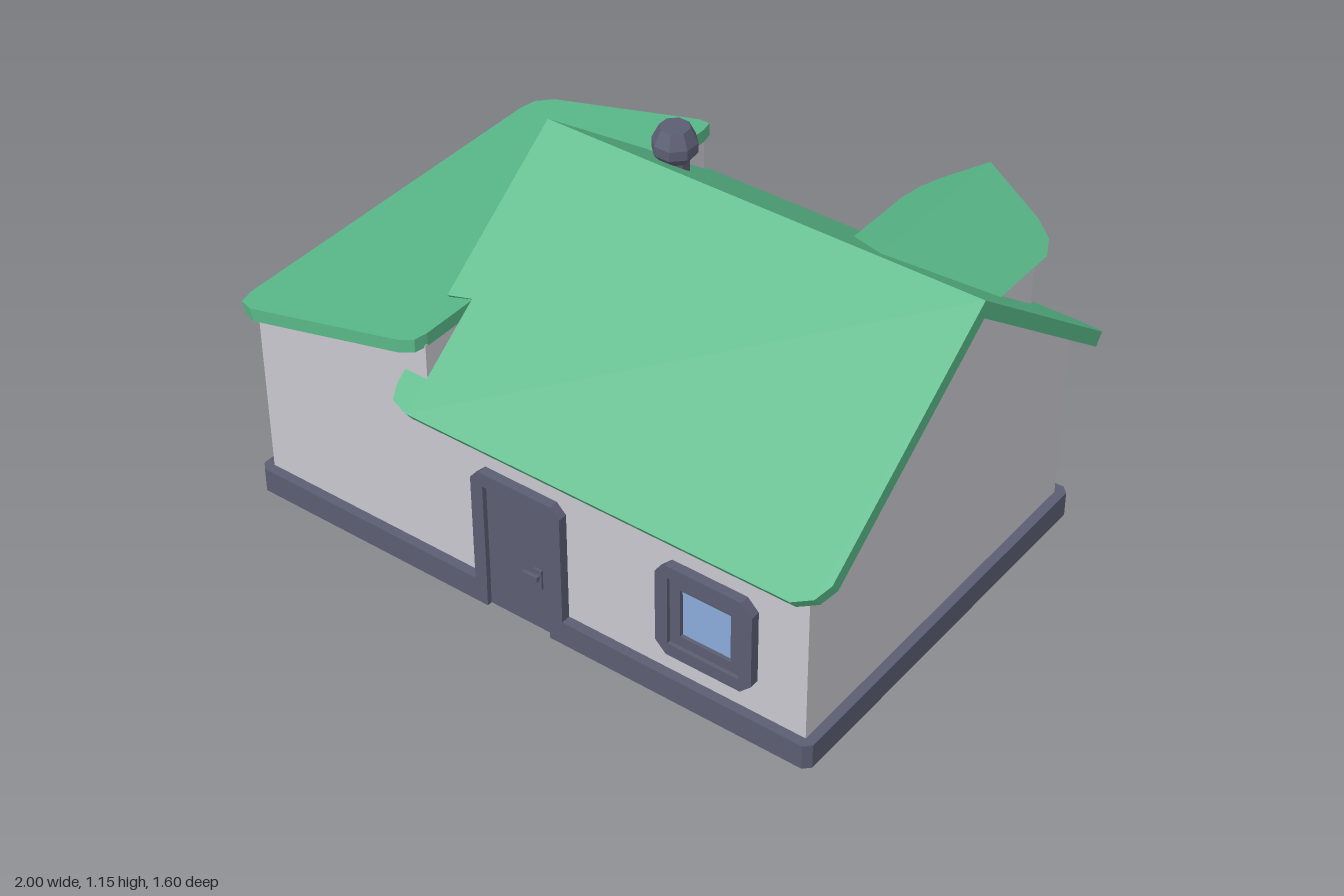
import * as THREE from 'three';

const mat = (name, color) => new THREE.MeshStandardMaterial({ name, color });

export function createModel() {
  const house = new THREE.Group();
  house.name = 'house';
  const wall = mat('wallGrey', 0xc8c7cf), trim = mat('slate', 0x5b5d72), green = mat('green', 0x59b888);
  const glass = mat('glassBlue', 0x8aabda), soil = mat('terracotta', 0xc87a54);

  const add = (parent, name, geo, material) => {
    const m = new THREE.Mesh(geo, material);
    m.name = name;
    parent.add(m);
    return m;
  };
  const toShape = (pts) => new THREE.Shape(pts.map(([x, y]) => new THREE.Vector2(x, y)));
  // Outline in x/y, optionally with a hole, extruded from z0 to z1
  const plate = (pts, z0, z1, hole) => {
    const s = toShape(pts);
    if (hole) s.holes.push(toShape(hole));
    return new THREE.ExtrudeGeometry(s, { depth: z1 - z0, bevelEnabled: false }).translate(0, 0, z0);
  };
  // Outline in x/z, extruded upwards from y0 to y1
  const slab = (pts, y0, y1, hole) => {
    const flip = (p) => p && p.map(([x, z]) => [x, -z]);
    return plate(flip(pts), y0, y1, flip(hole)).rotateX(-Math.PI / 2);
  };
  // Unit slab whose vertices are moved by a rule (x, z, isTop) => [x, y, z]
  const warpedSlab = (pts, rule) => {
    const g = slab(pts, 0, 1), p = g.attributes.position;
    for (let i = 0; i < p.count; i++) p.setXYZ(i, ...rule(p.getX(i), p.getZ(i), p.getY(i) > 0.5));
    g.computeVertexNormals();
    return g;
  };
  // Rectangle with cut corners; cutLow = false keeps the lower corners square
  const rect = (x0, y0, x1, y1, c = 0, cutLow = true) => {
    const lo = cutLow ? c : 0;
    const low = lo ? [[x0, y0 + lo], [x0 + lo, y0], [x1 - lo, y0], [x1, y0 + lo]] : [[x0, y0], [x1, y0]];
    const high = c ? [[x1, y1 - c], [x1 - c, y1], [x0 + c, y1], [x0, y1 - c]] : [[x1, y1], [x0, y1]];
    return [...low, ...high];
  };

  // Plinth with recesses at the three doors
  add(house, 'plinth', slab([
    [-0.975, 0.72], [-0.955, 0.74], [-0.125, 0.74], [-0.125, 0.71], [0.095, 0.71], [0.095, 0.74],
    [0.93, 0.74], [0.95, 0.72], [0.95, -0.545], [0.93, -0.565],
    [0.735, -0.565], [0.735, -0.53], [0.515, -0.53], [0.515, -0.565],
    [-0.43, -0.565], [-0.43, -0.53], [-0.85, -0.53], [-0.85, -0.565], [-0.955, -0.565], [-0.975, -0.545],
  ], 0, 0.08), trim);

  // Main walls with gables, and the lean-to garage
  const RZ = 0.085, K = 0.748;
  add(house, 'mainWalls', plate(
    [[-0.71, 0.05], [0.53, 0.05], [0.53, 0.63], [-RZ, 1.095], [-0.71, 0.63]], -0.325, 0.92,
  ).rotateY(Math.PI / 2), wall);
  add(house, 'garageWalls', plate(
    [[-0.945, 0.05], [-0.325, 0.05], [-0.325, 0.79], [-0.945, 0.635]], -0.53, 0.71), wall);

  // Main roof: two slopes mitred at the ridge, notched around the garage roof
  const slope = [
    [-0.4, 0], [1, 0], [1, 0.65], [0.975, 0.69], [0.92, 0.715], [-0.33, 0.715], [-0.385, 0.7], [-0.4, 0.665],
    [-0.4, 0.628], [-0.325, 0.628], [-0.325, 0.43], [-0.4, 0.445],
  ];
  for (const s of [1, -1]) {
    add(house, s > 0 ? 'frontRoof' : 'backRoof', warpedSlab(slope.map(([x, d]) => [x, s * d]), (x, z, top) => {
      let d = Math.abs(z);
      if (!top && d > 0.01) d -= 0.027;
      return [x, 1.15 - K * d - (top ? 0 : 0.055), RZ + s * d];
    }), green);
  }

  // Garage roof
  add(house, 'garageRoof', warpedSlab([
    [-1, -0.51], [-0.985, -0.56], [-0.93, -0.585], [-0.38, -0.585], [-0.335, -0.57], [-0.325, -0.53],
    [-0.325, 0.7], [-0.335, 0.74], [-0.38, 0.755], [-0.93, 0.755], [-0.985, 0.73], [-1, 0.68],
  ], (x, z, top) => {
    const bx = !top && x < -0.9 ? x + 0.01 : x;
    return [bx, 0.825 + (bx + 0.325) * 0.252 - (top ? 0 : 0.042), z];
  }), green);

  // Dormer
  const DX = 0.605;
  const dormer = new THREE.Group();
  dormer.name = 'dormer';
  dormer.position.x = DX;
  house.add(dormer);
  add(dormer, 'dormerWalls', plate(
    [[-0.205, 0.68], [0.205, 0.68], [0.205, 0.85], [0, 1.002], [-0.205, 0.85]], -0.5, -0.2), wall);
  const dormerSlope = [[0, -0.04], [0.235, -0.268], [0.235, -0.51], [0.21, -0.56], [0.16, -0.58], [0, -0.58]];
  for (const s of [1, -1]) {
    add(dormer, 'dormerRoof', warpedSlab(dormerSlope.map(([u, z]) => [s * u, z]), (x, z, top) => {
      let u = Math.abs(x);
      if (!top && u > 0.01) u -= 0.025;
      return [s * u, 1.055 - 0.745 * u - (top ? 0 : 0.053), z];
    }), green);
  }
  const tri = (k) => [[-0.15, -0.055], [0.15, -0.055], [0.165, -0.035], [0.165, -0.02], [0.025, 0.1], [-0.025, 0.1],
    [-0.165, -0.02], [-0.165, -0.035]].map(([x, y]) => [x * k, y * k + 0.825]);
  add(dormer, 'dormerWindowFrame', plate(tri(1), -0.535, -0.495, tri(0.74)), trim);
  add(dormer, 'dormerWindowSash', plate(tri(0.76), -0.52, -0.495, tri(0.54)), trim);
  add(dormer, 'dormerGlass', plate(tri(0.56), -0.507, -0.499), glass);

  // Door and window builders, local z = 0 on the wall
  const doorFrame = (g, x0, x1, t) => add(g, 'doorFrame', plate([
    [x0, 0.075], [x0 + t, 0.075], [x0 + t, 0.425], [x1 - t, 0.425], [x1 - t, 0.075], [x1, 0.075],
    [x1, 0.44], [x1 - 0.03, 0.47], [x0 + 0.03, 0.47], [x0, 0.44],
  ], -0.01, 0.03), trim);
  const makeDoor = (g, cx) => {
    doorFrame(g, cx - 0.1525, cx + 0.1525, 0.0415);
    add(g, 'door', plate(rect(cx - 0.112, 0, cx + 0.112, 0.427), -0.005, 0.014), trim);
    add(g, 'handlePlate', plate(rect(cx + 0.052, 0.15, cx + 0.077, 0.215), 0.013, 0.021), trim);
    add(g, 'handleLever', plate(rect(cx + 0.022, 0.184, cx + 0.073, 0.2), 0.026, 0.036), trim);
    add(g, 'handleStem', plate(rect(cx + 0.058, 0.185, cx + 0.071, 0.199), 0.02, 0.028), trim);
  };
  const makeWindow = (g, cx, w, mullion) => {
    const h = w / 2, ring = (i, c) => rect(cx - h + i, 0.16 + i, cx + h - i, 0.467 - i, c);
    add(g, 'windowFrame', plate(ring(0, 0.035), -0.01, 0.03, ring(0.04)), trim);
    add(g, 'windowSash', plate(ring(0.039), -0.01, 0.018, ring(0.074)), trim);
    add(g, 'windowGlass', plate(ring(0.072), 0, 0.007), glass);
    if (mullion) add(g, 'mullion', plate(rect(cx - 0.013, 0.23, cx + 0.013, 0.397), 0, 0.018), trim);
  };

  const front = new THREE.Group();
  front.name = 'frontOpenings';
  front.position.z = 0.71;
  makeDoor(front, -0.013);
  makeWindow(front, 0.61, 0.31, false);

  const back = new THREE.Group();
  back.name = 'backOpenings';
  back.position.z = -0.53;
  back.rotation.y = Math.PI;
  makeDoor(back, -0.625);
  makeWindow(back, 0.01, 0.475, true);
  house.add(front, back);

  // Garage door with a window strip
  doorFrame(back, 0.385, 0.895, 0.045);
  const strip = rect(0.5, 0.295, 0.78, 0.36);
  add(back, 'garageDoor', plate(rect(0.429, 0, 0.851, 0.427), -0.005, 0.015, strip), trim);
  add(back, 'garageGlass', plate(strip, 0, 0.006), glass);
  add(back, 'garageHandle', plate(rect(0.6, 0.06, 0.68, 0.083), 0.014, 0.028), trim);

  // Chimney pipe with faceted cap
  const lathe = (pts, n) => new THREE.LatheGeometry(pts.map(([r, y]) => new THREE.Vector2(r, y)), n);
  const pipe = lathe([[0.042, 0.88], [0.042, 1.0], [0.067, 1.03], [0.067, 1.06], [0.045, 1.105], [0, 1.105]], 8).toNonIndexed();
  pipe.computeVertexNormals();
  add(house, 'chimney', pipe.rotateY(Math.PI / 8), trim).position.set(-0.143, 0, -0.148);

  // Planter with two shrubs
  const bed = (i, c) => [[-0.32 + i, -0.54], [-0.32 + i, -0.8 + c + i * 0.6], [-0.3 + i, -0.815 + c * 0.55 + i],
    [-0.32 + c + i * 0.6, -0.8 + i], [0.295 - c - i * 0.6, -0.8 + i], [0.275 - i, -0.815 + c * 0.55 + i],
    [0.295 - i, -0.8 + c + i * 0.6], [0.295 - i, -0.54]];
  add(house, 'planterFloor', slab(bed(0.01, 0.06), 0, 0.045), trim);
  add(house, 'planterRim', slab(bed(0, 0.06), 0, 0.08, bed(0.03, 0.05).map(([x, z]) => [x, Math.min(z, -0.56)])), trim);
  add(house, 'planterSoil', slab(bed(0.028, 0.05), 0.05, 0.058), soil);
  const shrub = (x, z, r, h) => add(house, 'shrub', lathe(
    [[0, 0.05], [r * 0.7, 0.055], [r, 0.055 + (h - 0.055) * 0.38], [r * 0.88, 0.055 + (h - 0.055) * 0.62],
      [r * 0.5, h - 0.004], [0, h]], 6), green).position.set(x, 0, z);
  shrub(0.098, -0.66, 0.112, 0.28);
  shrub(-0.13, -0.655, 0.122, 0.215);

  return house;
}
